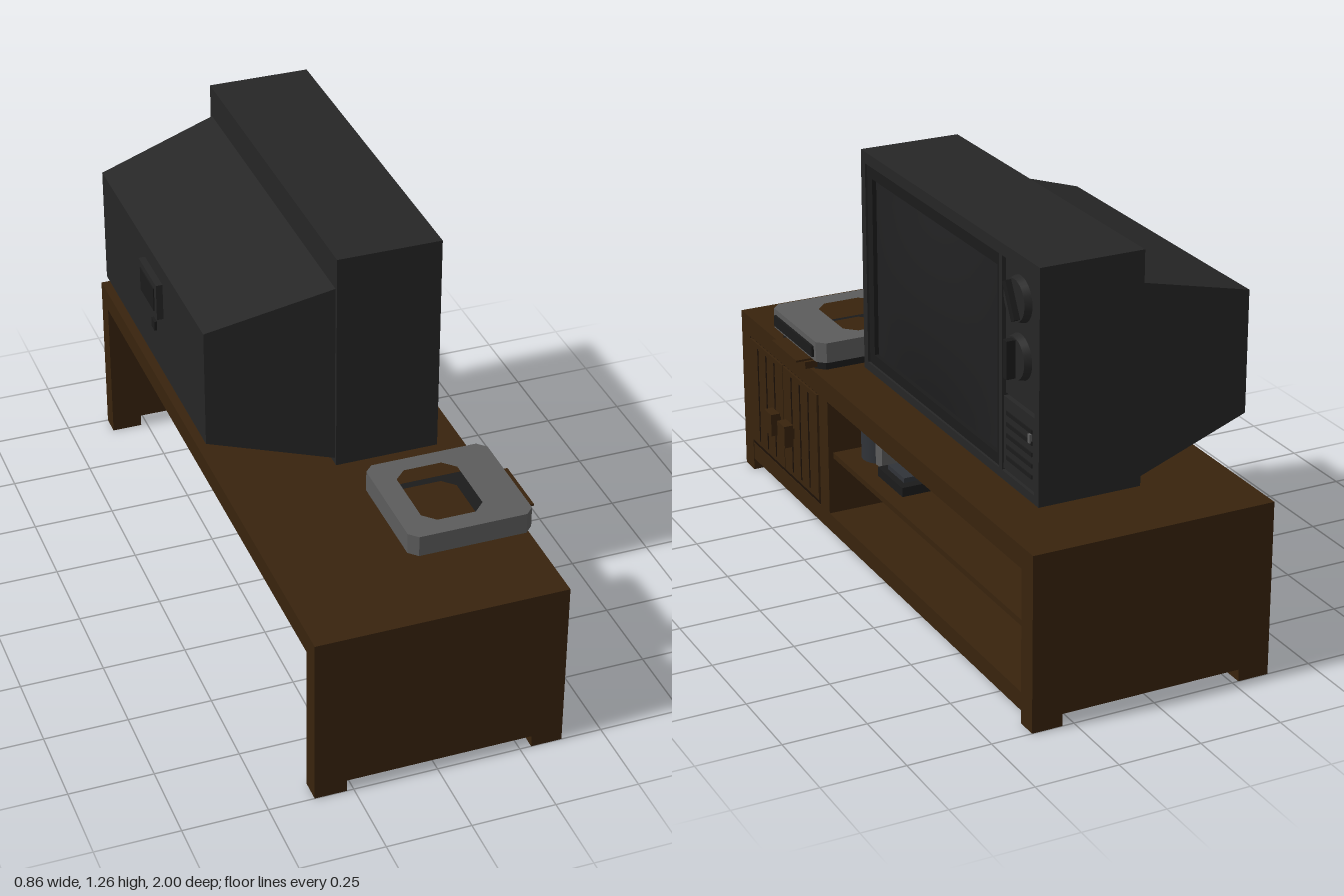
import * as THREE from 'three';

const mat = (name, color) => {
  const m = new THREE.MeshStandardMaterial({ color });
  m.name = name;
  return m;
};

export function createModel() {
  const wood = mat('brown wood', 0x38230d);
  const groove = mat('dark groove', 0x1c1107);
  const shell = mat('charcoal plastic', 0x262626);
  const trim = mat('dark trim', 0x1b1b1b);
  const glass = mat('screen glass', 0x202021);
  const grey = mat('grey plastic', 0x5c5c5c);
  const slate = mat('slate metal', 0x303338);

  const root = new THREE.Group();
  const group = (name) => {
    const g = new THREE.Group();
    g.name = name;
    root.add(g);
    return g;
  };
  const add = (parent, name, geo, material) => {
    const m = new THREE.Mesh(geo, material);
    m.name = name;
    parent.add(m);
  };
  // Box from its limits on each axis
  const box = (parent, name, material, [x0, x1], [y0, y1], [z0, z1]) => {
    const geo = new THREE.BoxGeometry(x1 - x0, y1 - y0, z1 - z0);
    geo.translate((x0 + x1) / 2, (y0 + y1) / 2, (z0 + z1) / 2);
    add(parent, name, geo, material);
  };

  // Cabinet: boards, end panels and feet
  const cabinet = group('cabinet');
  box(cabinet, 'top', wood, [-0.365, 0.378], [0.465, 0.53], [-1, 1]);
  box(cabinet, 'bottomBoard', wood, [0.08, 0.376], [0.037, 0.093], [-0.94, 0.94]);
  box(cabinet, 'shelf', wood, [0.08, 0.36], [0.275, 0.293], [-0.94, 0.34]);
  box(cabinet, 'divider', wood, [0.08, 0.376], [0.09, 0.47], [0.335, 0.4]);
  box(cabinet, 'cupboardBack', wood, [0.08, 0.1], [0.09, 0.47], [0.39, 0.94]);
  for (const s of [-1, 1]) {
    const zs = s > 0 ? [0.935, 1] : [-1, -0.935];
    box(cabinet, 'endPanel', wood, [-0.365, 0.378], [0.037, 0.47], zs);
    box(cabinet, 'backFoot', wood, [-0.365, -0.27], [0, 0.04], zs);
    box(cabinet, 'frontFoot', wood, [0.285, 0.378], [0, 0.04], zs);
  }
  box(cabinet, 'underPlate', trim, [0.12, 0.34], [0.458, 0.464], [-0.6, 0.15]);

  // Cupboard doors with plank grooves and square knobs
  const doors = group('doors');
  for (const [z0, z1, knob] of [[0.669, 0.93, 0.705], [0.405, 0.665, 0.6]]) {
    box(doors, 'door', wood, [0.355, 0.381], [0.11, 0.46], [z0, z1]);
    for (let i = 1; i < 4; i++) {
      const z = z0 + (z1 - z0) * i / 4;
      box(doors, 'plankGroove', groove, [0.379, 0.3825], [0.125, 0.445], [z - 0.003, z + 0.003]);
    }
    box(doors, 'knobStem', wood, [0.38, 0.395], [0.245, 0.28], [knob - 0.015, knob + 0.015]);
    box(doors, 'knob', wood, [0.39, 0.42], [0.225, 0.297], [knob - 0.028, knob + 0.028]);
  }
  box(doors, 'doorGap', groove, [0.365, 0.374], [0.093, 0.465], [0.4, 0.935]);

  // Television housing
  const tv = group('television');
  box(tv, 'housing', shell, [-0.04, 0.25], [0.576, 1.26], [-0.83, 0.285]);
  const rear = new THREE.BoxGeometry(0.37, 1, 1);
  const p = rear.attributes.position;
  for (let i = 0; i < p.count; i++) {
    const back = p.getX(i) < 0;
    const [h, d] = back ? [0.365, 0.985] : [0.567, 1.09];
    p.setXYZ(i, back ? -0.41 : -0.04, 0.878 + p.getY(i) * h, -0.271 + p.getZ(i) * d);
  }
  rear.computeVertexNormals();
  add(tv, 'rearHousing', rear, shell);
  box(tv, 'rearPlate', shell, [-0.43, -0.41], [0.89, 1.005], [-0.33, -0.16]);
  box(tv, 'rearPlateInset', trim, [-0.433, -0.429], [0.91, 0.985], [-0.31, -0.18]);
  box(tv, 'rearSocket', trim, [-0.418, -0.41], [0.81, 0.84], [-0.26, -0.23]);

  // Front frame around the screen and the controls
  const fx = [0.25, 0.273];
  box(tv, 'frameTop', shell, fx, [1.225, 1.26], [-0.83, 0.285]);
  box(tv, 'frameBottom', shell, fx, [0.576, 0.602], [-0.83, 0.285]);
  box(tv, 'frameLeft', shell, fx, [0.602, 1.225], [0.258, 0.285]);
  box(tv, 'frameRight', shell, fx, [0.602, 1.225], [-0.83, -0.805]);
  box(tv, 'frameMullion', shell, fx, [0.602, 1.225], [-0.615, -0.597]);
  const sx = [0.25, 0.266];
  box(tv, 'screenSurround', trim, sx, [1.185, 1.225], [-0.597, 0.258]);
  box(tv, 'screenSurround', trim, sx, [0.602, 0.635], [-0.597, 0.258]);
  box(tv, 'screenSurround', trim, sx, [0.635, 1.185], [0.225, 0.258]);
  box(tv, 'screenSurround', trim, sx, [0.635, 1.185], [-0.597, -0.575]);

  // Bulging screen
  const screen = new THREE.PlaneGeometry(0.8, 0.55, 14, 12);
  const q = screen.attributes.position;
  for (let i = 0; i < q.count; i++) {
    const u = q.getX(i) / 0.4, v = q.getY(i) / 0.275;
    q.setZ(i, 0.253 + 0.032 * (1 - u * u) * (1 - v * v));
  }
  screen.computeVertexNormals();
  screen.rotateY(Math.PI / 2).translate(0, 0.91, -0.175);
  add(tv, 'screen', screen, glass);

  // Control panel: two dials and a speaker grille
  box(tv, 'controlPanel', shell, [0.25, 0.262], [0.83, 1.22], [-0.803, -0.617]);
  box(tv, 'speakerPanel', shell, [0.25, 0.268], [0.607, 0.822], [-0.803, -0.617]);
  for (const [y, tilt, tip] of [[1.13, 0.5, 0.3], [0.965, 0, 0.31]]) {
    const dial = new THREE.CylinderGeometry(0.06, 0.066, 0.022, 28);
    dial.rotateZ(-Math.PI / 2).translate(0.272, y, -0.703);
    add(tv, 'dial', dial, shell);
    const grip = new THREE.BoxGeometry(tip - 0.28, 0.11, 0.022);
    grip.rotateX(tilt).translate((tip + 0.28) / 2, y, -0.703);
    add(tv, 'dialGrip', grip, trim);
  }
  for (let i = 0; i < 5; i++) {
    const y = 0.64 + i * 0.033;
    box(tv, 'grilleSlot', trim, [0.266, 0.271], [y, y + 0.012], [-0.785, -0.635]);
  }
  box(tv, 'slider', grey, [0.266, 0.276], [0.745, 0.77], [-0.782, -0.77]);

  // Tabletop player: a ring-shaped body with chamfered corners
  const player = group('player');
  const outline = (Type, x0, x1, z0, z1, c) => new Type([
    [x0 + c, z0], [x1 - c, z0], [x1, z0 + c], [x1, z1 - c],
    [x1 - c, z1], [x0 + c, z1], [x0, z1 - c], [x0, z0 + c],
  ].map(([x, z]) => new THREE.Vector2(x, -z)));
  const ring = (name, material, [y0, y1], [x0, x1], [z0, z1]) => {
    const shape = outline(THREE.Shape, x0, x1, z0, z1, 0.025);
    shape.holes.push(outline(THREE.Path, 0.07, 0.255, 0.445, 0.7, 0.035));
    const geo = new THREE.ExtrudeGeometry(shape, { depth: y1 - y0, bevelEnabled: false });
    geo.rotateX(-Math.PI / 2).translate(0, y0, 0);
    add(player, name, geo, material);
  };
  ring('playerBase', trim, [0.53, 0.564], [0.05, 0.365], [0.42, 0.715]);
  ring('playerBody', grey, [0.564, 0.628], [0.003, 0.375], [0.39, 0.76]);
  box(player, 'frontStrip', trim, [0.372, 0.382], [0.575, 0.61], [0.43, 0.72]);
  box(player, 'tray', wood, [0.36, 0.4], [0.536, 0.558], [0.44, 0.65]);
  box(player, 'trayLip', wood, [0.36, 0.425], [0.558, 0.564], [0.45, 0.64]);

  // Things on the shelf
  const items = group('shelfItems');
  const can = new THREE.CylinderGeometry(0.06, 0.06, 0.168, 24);
  can.translate(0.24, 0.377, 0.248);
  add(items, 'canister', can, slate);
  box(items, 'smallBox', grey, [0.21, 0.28], [0.293, 0.425], [0.155, 0.2]);
  box(items, 'gamepad', trim, [0.2, 0.31], [0.293, 0.322], [-0.05, 0.12]);
  box(items, 'gamepadTop', slate, [0.22, 0.29], [0.322, 0.337], [-0.02, 0.09]);

  return root;
}
